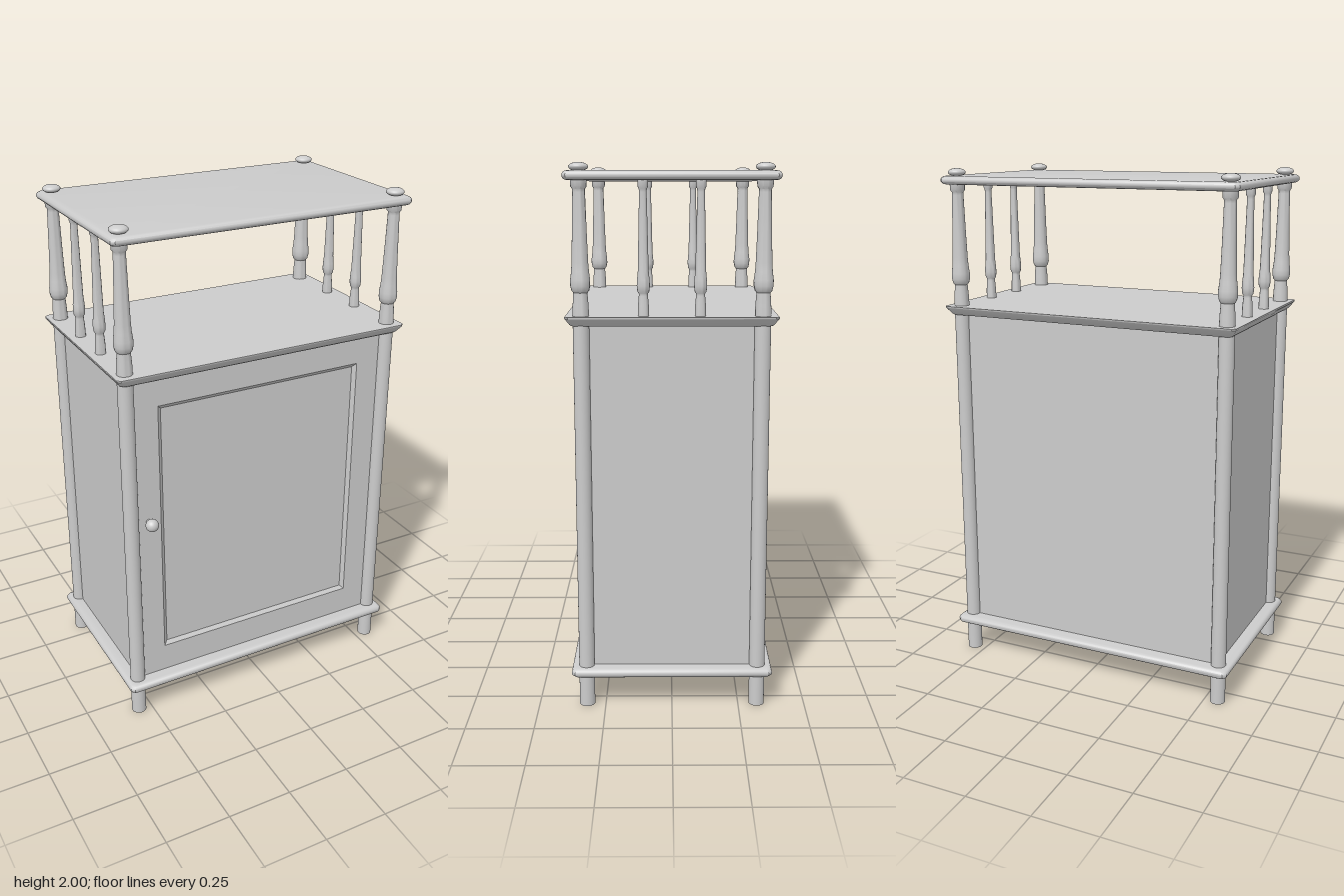
import * as THREE from 'three';
import { toCreasedNormals } from 'three/addons/utils/BufferGeometryUtils.js';

const material = new THREE.MeshStandardMaterial({ color: 0xcccccc });
const POST_X = 0.552, POST_Z = 0.32;

// Joins rings of [x, y, z] points into a skin, optionally closing both ends.
function loft(rings, capped) {
  const n = rings[0].length, position = [];
  const tri = (a, b, c) => position.push(...a, ...b, ...c);
  for (let r = 0; r + 1 < rings.length; r++) {
    const lo = rings[r], hi = rings[r + 1];
    for (let i = 0; i < n; i++) {
      const j = (i + 1) % n;
      tri(lo[i], lo[j], hi[j]);
      tri(lo[i], hi[j], hi[i]);
    }
  }
  if (capped) {
    const first = rings[0], last = rings[rings.length - 1];
    for (let i = 1; i + 1 < n; i++) {
      tri(first[0], first[i + 1], first[i]);
      tri(last[0], last[i], last[i + 1]);
    }
  }
  const geometry = new THREE.BufferGeometry();
  geometry.setAttribute('position', new THREE.Float32BufferAttribute(position, 3));
  return toCreasedNormals(geometry, 0.7);
}

// Horizontal board with clipped corners; the edge profile lists [inset, y] upwards.
function board(profile) {
  const cut = 0.013;
  return loft(profile.map(([inset, y]) => {
    const x = 0.6 - inset, z = 0.375 - inset;
    return [
      [-x + cut, y, z], [x - cut, y, z], [x, y, z - cut], [x, y, -z + cut],
      [x - cut, y, -z], [-x + cut, y, -z], [-x, y, -z + cut], [-x, y, z - cut],
    ];
  }), true);
}

// Half-round edge profile
function halfRound(y0, y1) {
  const r = (y1 - y0) / 2, points = [];
  for (let i = 0; i <= 8; i++) {
    const a = -Math.PI / 2 + (i / 8) * Math.PI;
    points.push([r - r * Math.cos(a), y0 + r + r * Math.sin(a)]);
  }
  return points;
}

function turned(points, segments = 24) {
  const profile = points.map(([r, y]) => new THREE.Vector2(r, y));
  return toCreasedNormals(new THREE.LatheGeometry(profile, segments), 0.7);
}

function rectangle(Type, x0, y0, x1, y1) {
  const path = new Type();
  path.moveTo(x0, y0);
  path.lineTo(x1, y0);
  path.lineTo(x1, y1);
  path.lineTo(x0, y1);
  path.closePath();
  return path;
}

export function createModel() {
  const model = new THREE.Group();
  const add = (name, geometry, x = 0, y = 0, z = 0) => {
    const mesh = new THREE.Mesh(geometry, material);
    mesh.name = name;
    mesh.position.set(x, y, z);
    model.add(mesh);
    return mesh;
  };

  // Boards
  add('bottomBoard', board(halfRound(0.12, 0.156)));
  add('cabinetTop', board([[0.022, 1.44], [0.016, 1.445], [0.003, 1.464], [0, 1.468], [0, 1.474]]));
  add('upperShelf', board(halfRound(1.94, 1.972)));

  // Cabinet body, with the face of the sunken door panel as its front
  const panelZ = 0.308, frontZ = POST_Z;
  add('cabinetBody', new THREE.BoxGeometry(1.1, 1.3, panelZ + POST_Z), 0, 0.795, (panelZ - POST_Z) / 2);

  // Door frame around the sunken panel
  const hole = [-0.43, 0.27, 0.425, 1.325];
  const frame = rectangle(THREE.Shape, -0.55, 0.145, 0.55, 1.445);
  frame.holes.push(rectangle(THREE.Path, ...hole));
  add('doorFrame', new THREE.ExtrudeGeometry(frame, { depth: frontZ - panelZ, bevelEnabled: false }), 0, 0, panelZ);

  // Sloped moulding from the frame down to the panel
  const ring = (inset, z) => {
    const [x0, y0, x1, y1] = hole;
    return [
      [x0 + inset, y0 + inset, z], [x1 - inset, y0 + inset, z],
      [x1 - inset, y1 - inset, z], [x0 + inset, y1 - inset, z],
    ];
  };
  add('panelMoulding', loft([ring(0, frontZ), ring(0.015, panelZ + 0.0005)], false));

  // Door knob
  add('knobStem', new THREE.CylinderGeometry(0.01, 0.012, 0.03, 16), -0.48, 0.86, 0.33).rotation.x = Math.PI / 2;
  add('doorKnob', new THREE.SphereGeometry(0.025, 24, 16), -0.48, 0.86, 0.35);

  // Corner posts, turned columns and finials
  const post = new THREE.CylinderGeometry(0.029, 0.029, 1.45, 24);
  const column = turned([
    [0.029, 1.47], [0.028, 1.51], [0.025, 1.55], [0.025, 1.556], [0.031, 1.563], [0.035, 1.58],
    [0.035, 1.6], [0.031, 1.63], [0.029, 1.66], [0.026, 1.75], [0.022, 1.9], [0.022, 1.91],
    [0.028, 1.918], [0.029, 1.945],
  ]);
  const finial = new THREE.SphereGeometry(0.034, 24, 16).scale(1, 0.45, 1);

  // Slimmer side balusters
  const baluster = turned([
    [0.02, 1.47], [0.019, 1.51], [0.016, 1.545], [0.016, 1.552], [0.021, 1.56], [0.023, 1.58],
    [0.022, 1.6], [0.019, 1.63], [0.017, 1.72], [0.013, 1.9], [0.014, 1.91], [0.018, 1.918], [0.018, 1.945],
  ]);

  for (const sx of [-1, 1]) {
    for (const sz of [-1, 1]) {
      const side = (sz > 0 ? 'front' : 'back') + (sx > 0 ? 'Left' : 'Right');
      add(side + 'Post', post, sx * POST_X, 0.725, sz * POST_Z);
      add(side + 'Column', column, sx * POST_X, 0, sz * POST_Z);
      add(side + 'Finial', finial, sx * POST_X, 1.9847, sz * POST_Z);
      add(side + 'Baluster', baluster, sx * POST_X, 0, sz * 0.1);
    }
  }
  return model;
}
